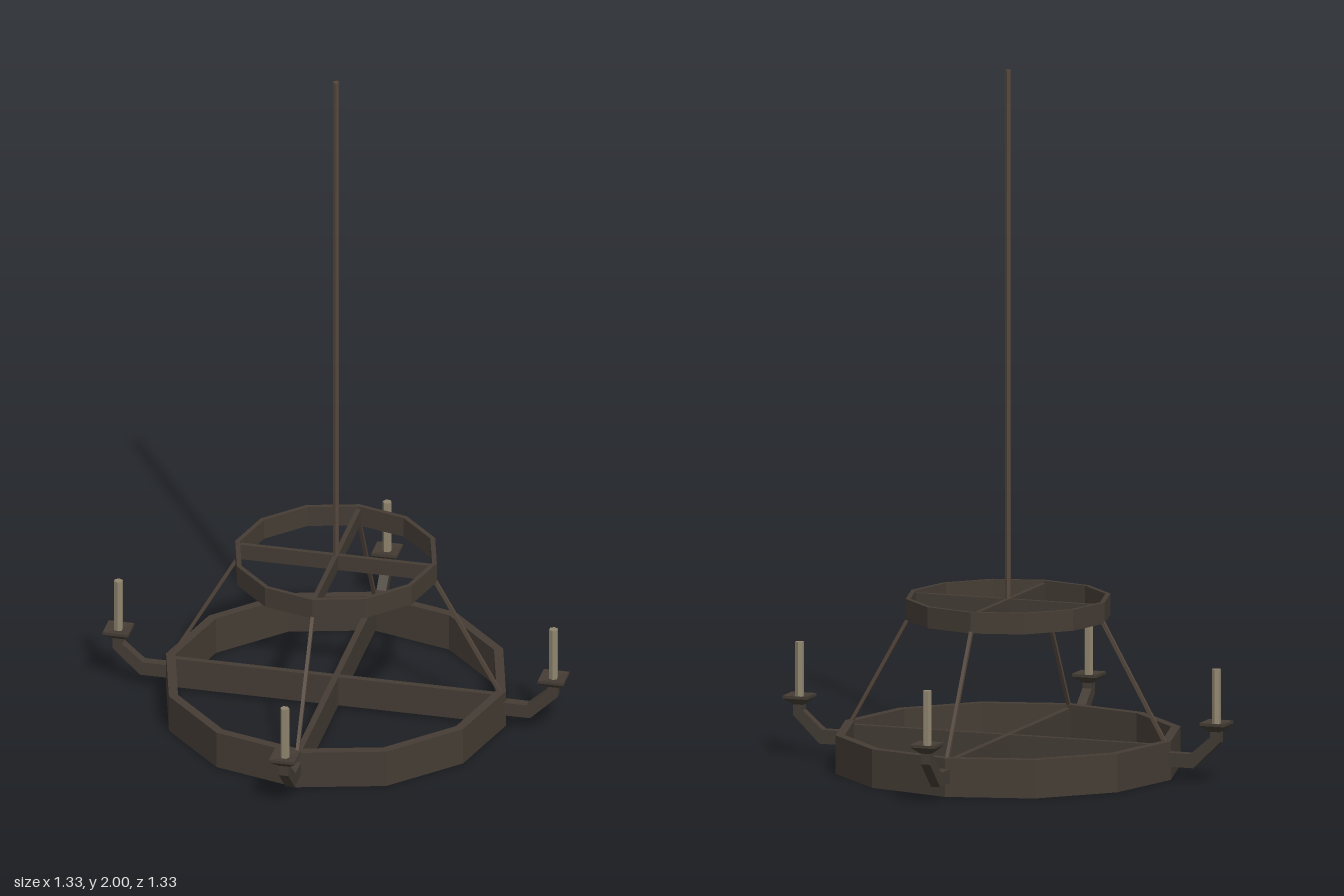
import * as THREE from 'three';

export function createModel() {
  const model = new THREE.Group();
  model.name = 'chandelier';
  const material = (name, color) => {
    const m = new THREE.MeshStandardMaterial({ color, flatShading: true });
    m.name = name;
    return m;
  };
  const iron = material('dark iron', 0x443c34);
  const rodIron = material('worn iron', 0x54473c);
  const wax = material('old wax', 0x8f846e);

  const add = (parent, name, geometry, mat, x = 0, y = 0, z = 0) => {
    const mesh = new THREE.Mesh(geometry, mat);
    mesh.name = name;
    mesh.position.set(x, y, z);
    parent.add(mesh);
    return mesh;
  };

  // Square-section bar between two points
  const bar = (parent, name, a, b, width, mat) => {
    const dir = b.clone().sub(a);
    const mesh = add(parent, name, new THREE.BoxGeometry(width, dir.length(), width), mat);
    mesh.position.copy(a).add(b).multiplyScalar(0.5);
    mesh.quaternion.setFromUnitVectors(new THREE.Vector3(0, 1, 0), dir.normalize());
  };

  // Twelve-sided hoop with a rectangular wall section
  const hoop = (name, outer, inner, bottom, top) => {
    const section = [[inner, bottom], [outer, bottom], [outer, top], [inner, top], [inner, bottom]]
      .map(([r, y]) => new THREE.Vector2(r, y));
    add(model, name, new THREE.LatheGeometry(section, 12), iron);
  };
  hoop('lowerRing', 0.492, 0.465, 0, 0.11);
  hoop('upperRing', 0.292, 0.278, 0.435, 0.495);

  // Crossed braces inside both hoops
  for (const turn of [0, Math.PI / 2]) {
    add(model, 'lowerBrace', new THREE.BoxGeometry(0.95, 0.09, 0.018), iron, 0, 0.055, 0).rotation.y = turn;
    add(model, 'upperBrace', new THREE.BoxGeometry(0.565, 0.046, 0.014), iron, 0, 0.465, 0).rotation.y = turn;
  }

  // Hanging rod
  add(model, 'hangingRod', new THREE.CylinderGeometry(0.009, 0.009, 1.55, 6), rodIron, 0, 1.225, 0);

  // Bent arm profile, extruded sideways
  const armShape = new THREE.Shape([
    [0.475, 0.04], [0.565, 0.04], [0.644, 0.117], [0.644, 0.155],
    [0.616, 0.155], [0.616, 0.132], [0.556, 0.08], [0.475, 0.08],
  ].map(([x, y]) => new THREE.Vector2(x, y)));
  const armGeometry = new THREE.ExtrudeGeometry(armShape, { depth: 0.028, bevelEnabled: false });
  armGeometry.translate(0, 0, -0.014);

  // Four-sided drip pan: flared underside, thin rim, shallow sloping top
  const panProfile = [[0, 0.148], [0.022, 0.148], [0.0525, 0.167], [0.0525, 0.175], [0, 0.168]]
    .map(([r, y]) => new THREE.Vector2(r, y));
  const panGeometry = new THREE.LatheGeometry(panProfile, 4);
  panGeometry.rotateY(Math.PI / 4);
  const candleGeometry = new THREE.CylinderGeometry(0.013, 0.013, 0.163, 6);

  // Four quarters: candle arm and slanted stay
  for (let i = 0; i < 4; i++) {
    const arm = new THREE.Group();
    arm.name = 'candleArm';
    arm.rotation.y = i * Math.PI / 2;
    add(arm, 'arm', armGeometry, iron);
    add(arm, 'dripPan', panGeometry, iron, 0.63, 0, 0);
    add(arm, 'candle', candleGeometry, wax, 0.63, 0.2445, 0);
    bar(arm, 'stay', new THREE.Vector3(0.478, 0.1, 0), new THREE.Vector3(0.283, 0.445, 0), 0.01, rodIron);
    model.add(arm);
  }
  return model;
}
